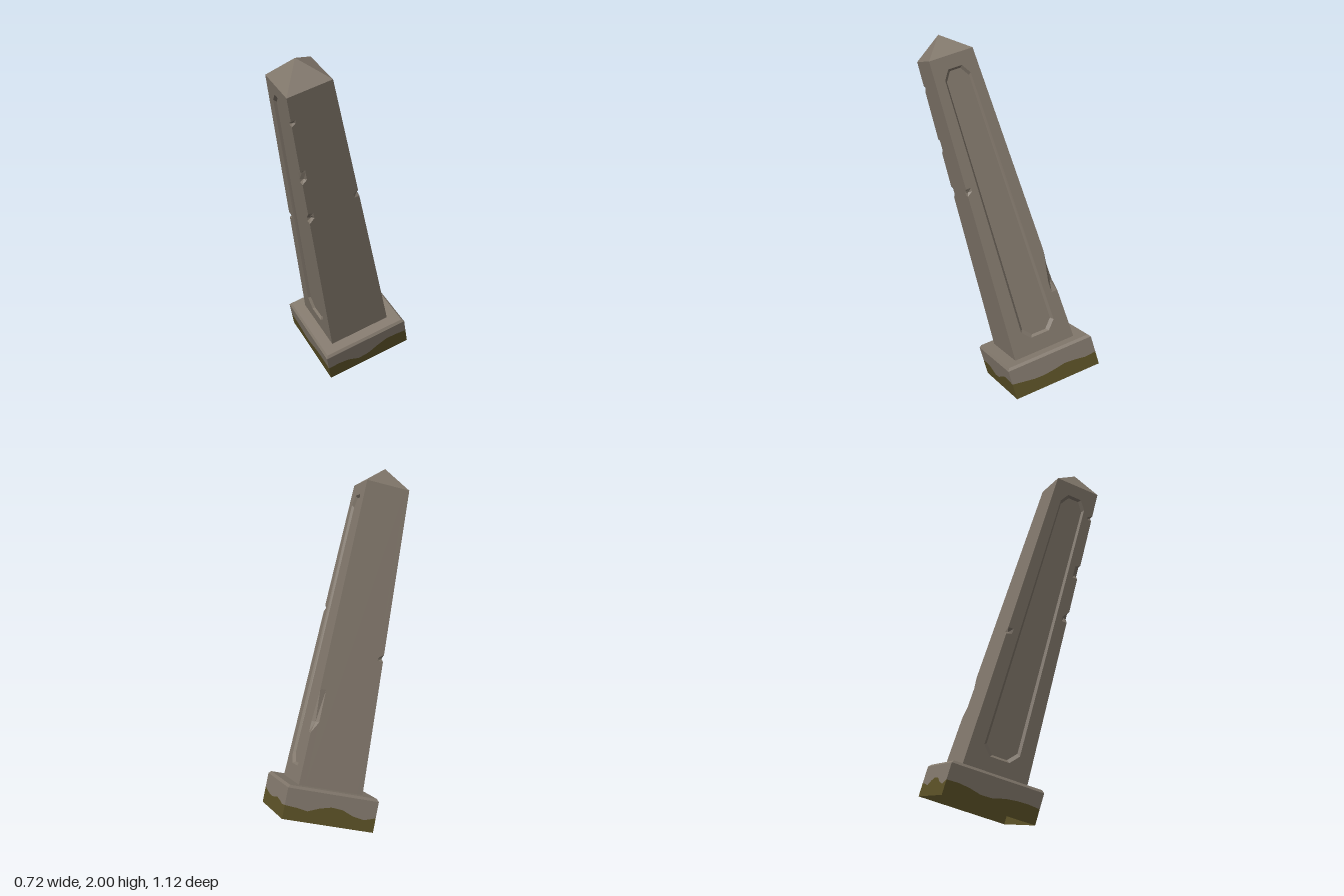
import * as THREE from 'three';
import { mergeGeometries } from 'three/addons/utils/BufferGeometryUtils.js';

const stone = new THREE.MeshStandardMaterial({ color: 0x81776b, side: THREE.DoubleSide });
stone.name = 'stone';
const moss = new THREE.MeshStandardMaterial({ color: 0x5a5026, side: THREE.DoubleSide });
moss.name = 'moss';

const YAW = 0.11, TILT = 0.333;
const BASE_R = 0.363, BASE_H = 0.183, SHAFT_TOP = 1.88, APEX = 1.99;
const FRONT = 0, RIGHT = 1, BACK = 2, LEFT = 3;

// Point on corner line i, at distance r from the axis and height h
function corner(i, r, h) {
  const a = YAW + i * Math.PI / 2;
  return new THREE.Vector3(r * Math.sin(a), h, r * Math.cos(a));
}

const shaftRadius = (h) => THREE.MathUtils.mapLinear(h, 0.18, SHAFT_TOP, 0.258, 0.176);

// Flat-shaded geometry from quads given as bottom-left, bottom-right, top-right, top-left
function quads(list) {
  const pts = list.flatMap(([a, b, c, d]) => [a, b, c, a, c, d]);
  const g = new THREE.BufferGeometry().setFromPoints(pts);
  g.computeVertexNormals();
  return g;
}

function mesh(name, geometry, material) {
  const m = new THREE.Mesh(geometry, material);
  m.name = name;
  return m;
}

// Four-sided ring between two squares
function ring(r0, h0, r1, h1) {
  return [0, 1, 2, 3].map((i) => [corner(i, r0, h0), corner(i + 1, r0, h0), corner(i + 1, r1, h1), corner(i, r1, h1)]);
}

// Chips along each corner edge: [height, inset]
const chips = {
  [FRONT]: [[1.1, 0], [1.125, 0.025], [1.165, 0], [1.36, 0], [1.38, 0.024], [1.425, 0.018], [1.44, 0],
    [1.715, 0], [1.73, 0.012], [1.745, 0]],
  [RIGHT]: [[1.14, 0], [1.16, 0.013], [1.18, 0]],
  [BACK]: [[0.47, 0], [0.53, 0.026], [0.71, 0]],
  [LEFT]: [[0.92, 0], [0.935, 0.012], [0.96, 0]],
};

function edgePoint(i, h) {
  const c = chips[i % 4];
  let inset = 0;
  for (let k = 0; k + 1 < c.length; k++) {
    if (h >= c[k][0] && h <= c[k + 1][0]) inset = THREE.MathUtils.mapLinear(h, c[k][0], c[k + 1][0], c[k][1], c[k + 1][1]);
  }
  return corner(i, shaftRadius(h) - inset, h);
}

// Point on shaft face i: u across, h up, depth inwards
function facePoint(i, u, h, depth = 0) {
  const r = shaftRadius(h);
  const a = YAW + (i + 0.5) * Math.PI / 2;
  return corner(i, r, h).lerp(corner(i + 1, r, h), u).sub(new THREE.Vector3(Math.sin(a), 0, Math.cos(a)).multiplyScalar(depth));
}

// Chamfered panel outline in face coordinates
function panelOutline(e) {
  const u0 = 0.215 + e * 3.2, u1 = 0.785 - e * 3.2, h0 = 0.27 + e, h1 = 1.81 - e, cu = 0.13, ch = 0.05;
  return [[u0 + cu, h0], [u1 - cu, h0], [u1, h0 + ch], [u1, h1 - ch], [u1 - cu, h1], [u0 + cu, h1], [u0, h1 - ch], [u0, h0 + ch]]
    .map(([u, h]) => new THREE.Vector2(u, h));
}

// Flat shape laid onto a shaft face
function onFace(i, shape, depth) {
  const g = new THREE.ShapeGeometry(shape).toNonIndexed();
  g.deleteAttribute('uv');
  const p = g.attributes.position;
  for (let k = 0; k < p.count; k++) {
    const v = facePoint(i, p.getX(k), p.getY(k), depth);
    p.setXYZ(k, v.x, v.y, v.z);
  }
  g.computeVertexNormals();
  return g;
}

function shaftFace(i, hasPanel) {
  const m = 0.1, parts = [];
  // Chipped strips beside both edges
  const rows = [0.18, ...chips[i].concat(chips[(i + 1) % 4]).map((c) => c[0]), SHAFT_TOP].sort((a, b) => a - b);
  const strips = [];
  for (let k = 0; k + 1 < rows.length; k++) {
    const a = rows[k], b = rows[k + 1];
    if (b - a < 1e-6) continue;
    strips.push([edgePoint(i, a), facePoint(i, m, a), facePoint(i, m, b), edgePoint(i, b)]);
    strips.push([facePoint(i, 1 - m, a), edgePoint(i + 1, a), edgePoint(i + 1, b), facePoint(i, 1 - m, b)]);
  }
  parts.push(quads(strips));
  // Middle of the face, with an opening where a panel is sunk
  const middle = new THREE.Shape([[m, 0.18], [1 - m, 0.18], [1 - m, SHAFT_TOP], [m, SHAFT_TOP]].map(([u, h]) => new THREE.Vector2(u, h)));
  if (hasPanel) {
    const outer = panelOutline(0), inner = panelOutline(0.012), depth = 0.013;
    middle.holes.push(new THREE.Path(outer));
    parts.push(quads(outer.map((p, k) => {
      const q = outer[(k + 1) % 8], r = inner[(k + 1) % 8], s = inner[k];
      return [facePoint(i, p.x, p.y), facePoint(i, q.x, q.y), facePoint(i, r.x, r.y, depth), facePoint(i, s.x, s.y, depth)];
    })));
    parts.push(onFace(i, new THREE.Shape(inner), depth));
  }
  parts.push(onFace(i, middle, 0));
  return mergeGeometries(parts);
}

// Height of the moss along each side of the base
const mossLine = [
  [0.085, 0.088, 0.08, 0.05, 0.055, 0.08, 0.1, 0.098, 0.09],
  [0.09, 0.08, 0.07, 0.068, 0.075, 0.085, 0.08, 0.07, 0.075],
  [0.075, 0.07, 0.06, 0.085, 0.1, 0.095, 0.07, 0.06, 0.08],
  [0.08, 0.082, 0.075, 0.06, 0.062, 0.08, 0.088, 0.09, 0.085],
];

export function createModel() {
  const model = new THREE.Group();
  model.name = 'leaningObelisk';
  const body = new THREE.Group();
  body.name = 'obelisk';
  body.rotation.x = TILT;
  body.position.set(0, 0.118, -0.22);
  model.add(body);

  // Base walls, open underneath, split along the moss line
  const lower = [], upper = [], wallTop = BASE_H - 0.014;
  mossLine.forEach((line, i) => {
    const at = (k, h) => corner(i, BASE_R, h).lerp(corner(i + 1, BASE_R, h), k / (line.length - 1));
    for (let k = 0; k + 1 < line.length; k++) {
      lower.push([at(k, 0), at(k + 1, 0), at(k + 1, line[k + 1]), at(k, line[k])]);
      upper.push([at(k, line[k]), at(k + 1, line[k + 1]), at(k + 1, wallTop), at(k, wallTop)]);
    }
  });
  body.add(mesh('mossBand', quads(lower), moss));
  body.add(mesh('baseWalls', quads(upper), stone));

  // Bevelled rim and ledge around the shaft
  const ledge = [...ring(BASE_R, wallTop, BASE_R - 0.016, BASE_H), ...ring(BASE_R - 0.016, BASE_H, shaftRadius(BASE_H), BASE_H)];
  body.add(mesh('baseLedge', quads(ledge), stone));

  // Tapered shaft with sunken panels on two opposite faces
  for (let i = 0; i < 4; i++) body.add(mesh('shaftFace', shaftFace(i, i % 2 === 1), stone));

  // Pyramid cap
  const r = shaftRadius(SHAFT_TOP);
  const cap = [0, 1, 2, 3].flatMap((i) => [corner(i, r, SHAFT_TOP), corner(i + 1, r, SHAFT_TOP), new THREE.Vector3(0, APEX, 0)]);
  const capGeometry = new THREE.BufferGeometry().setFromPoints(cap);
  capGeometry.computeVertexNormals();
  body.add(mesh('cap', capGeometry, stone));

  return model;
}
